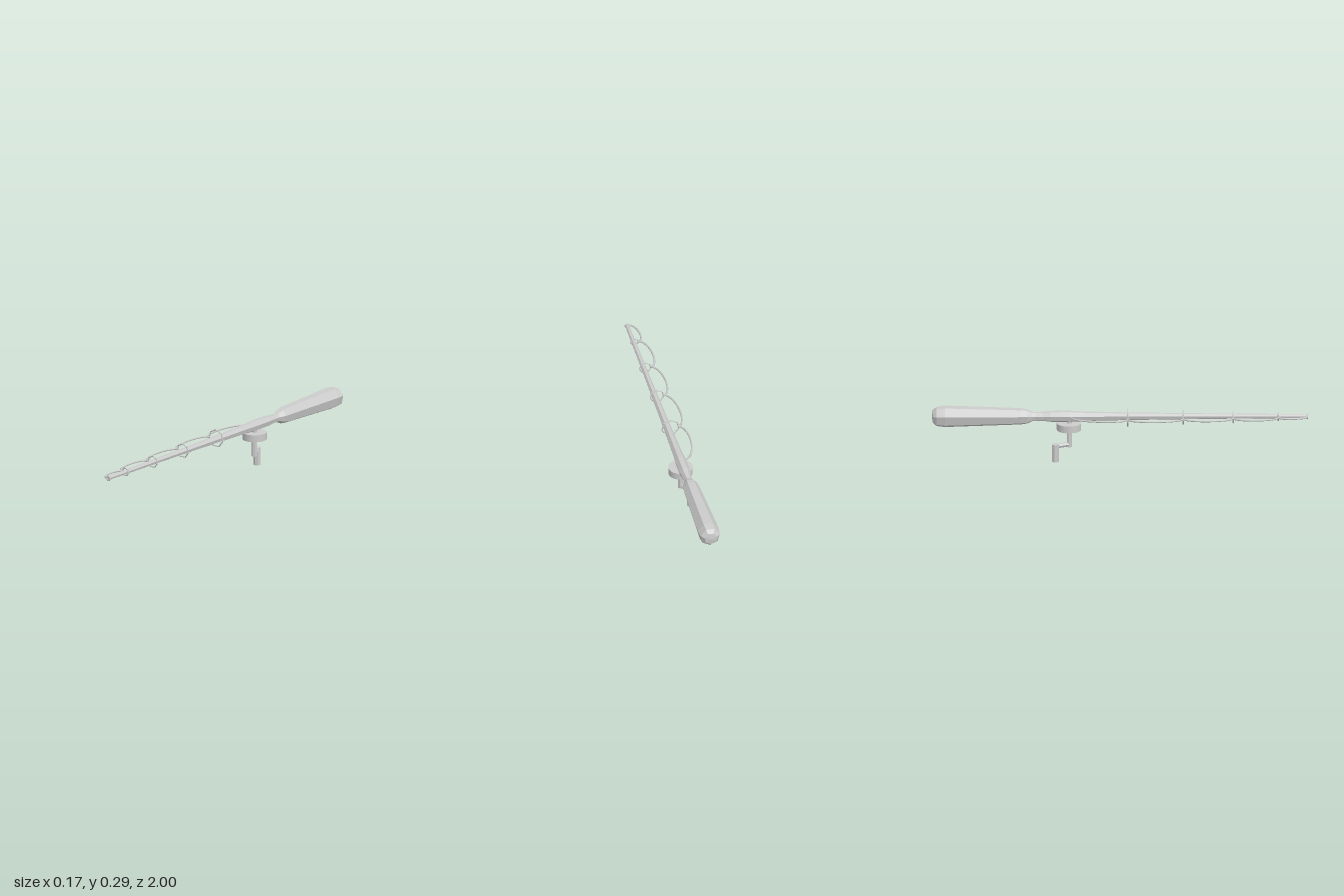
import * as THREE from 'three';

const CX = 0.017, CY = 0.239; // axis of the rod

export function createModel() {
  const model = new THREE.Group();
  const flat = new THREE.MeshStandardMaterial({ color: 0xcccccc, flatShading: true });
  const smooth = new THREE.MeshStandardMaterial({ color: 0xcccccc });

  function add(name, geometry, material = flat) {
    const mesh = new THREE.Mesh(geometry, material);
    mesh.name = name;
    model.add(mesh);
    return mesh;
  }

  // Seven-sided turned part along z, from [z, radius] pairs
  function turned(name, profile) {
    const points = profile.map(([z, r]) => new THREE.Vector2(r, z));
    const mesh = add(name, new THREE.LatheGeometry(points, 7).rotateX(Math.PI / 2));
    mesh.position.set(CX, CY, 0);
  }

  // Straight prism between two points
  function bar(name, a, b, radius, sides, material = flat) {
    const from = new THREE.Vector3(...a), to = new THREE.Vector3(...b);
    const dir = to.clone().sub(from);
    const mesh = add(name, new THREE.CylinderGeometry(radius, radius, dir.length(), sides), material);
    mesh.position.copy(from).add(to).multiplyScalar(0.5);
    mesh.quaternion.setFromUnitVectors(new THREE.Vector3(0, 1, 0), dir.normalize());
  }

  // Handle grip with a blunt, rounded butt
  turned('handle', [[-1, 0], [-0.995, 0.035], [-0.975, 0.053], [-0.93, 0.059],
    [-0.53, 0.045], [-0.495, 0.04], [-0.465, 0.026], [-0.44, 0.022]]);

  // Tapering rod, thicker where the reel is mounted
  turned('rod', [[-0.46, 0.024], [-0.41, 0.025], [-0.37, 0.03], [-0.27, 0.031],
    [-0.19, 0.026], [0.04, 0.021], [0.5, 0.015], [0.995, 0.011], [0.995, 0]]);

  // Line guides: [z, centre x, outer radius, x where the line passes]
  const guides = [
    [0.04, 0.0, 0.051, -0.04], [0.335, 0.005, 0.041, -0.03], [0.6, 0.008, 0.035, -0.021],
    [0.84, 0.011, 0.025, -0.01], [0.994, 0.016, 0.016, 0.004],
  ];
  for (const [z, x, r] of guides) {
    const ring = add('lineGuide', new THREE.TorusGeometry(r - 0.004, 0.004, 6, 7).rotateZ(Math.PI / 2));
    ring.position.set(x, CY - 0.001, z);
  }

  // Slack line bowing out sideways between the guides
  const bulge = [0.052, 0.048, 0.045, 0.043, 0.03];
  let start = [-0.26, -0.012];
  guides.forEach(([z, , , x], i) => {
    const points = [];
    for (let k = 0; k <= 10; k++) {
      const t = Math.PI * k / 10, f = (1 - Math.cos(t)) / 2;
      points.push(new THREE.Vector3(
        THREE.MathUtils.lerp(start[1], x, f) - bulge[i] * Math.sin(t),
        CY, THREE.MathUtils.lerp(start[0], z, f)));
    }
    add('line', new THREE.TubeGeometry(new THREE.CatmullRomCurve3(points), 24, 0.005, 6), smooth);
    start = [z, x];
  });

  // Reel drum, spindle and crank
  bar('reelDrum', [CX, 0.165, -0.272], [CX, 0.203, -0.272], 0.065, 32, smooth);
  bar('reelSpindle', [CX, 0.07, -0.27], [CX, 0.22, -0.27], 0.0145, 7);
  bar('crankArm', [CX, 0.084, -0.268], [-0.02, 0.084, -0.345], 0.0125, 6);
  bar('crankGrip', [-0.021, 0, -0.345], [-0.021, 0.096, -0.345], 0.02, 7);

  return model;
}
